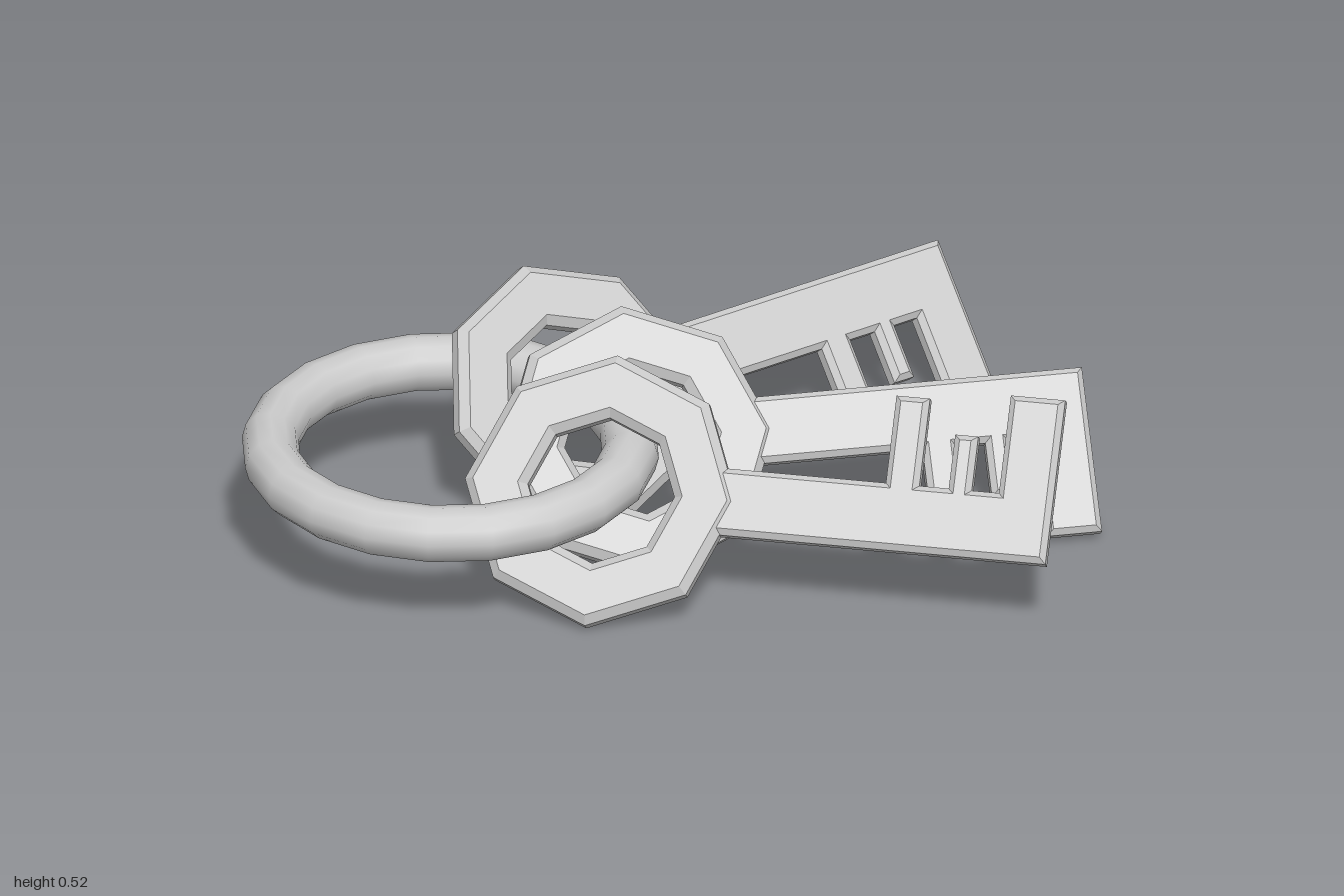
import * as THREE from 'three';

const material = new THREE.MeshStandardMaterial({ color: 0xcccccc });
const deg = THREE.MathUtils.degToRad;

// Corner points of an octagon with corners on the axes
function octagon(radius) {
  return Array.from({ length: 8 }, (_, i) => {
    const a = (i * Math.PI) / 4;
    return new THREE.Vector2(radius * Math.cos(a), radius * Math.sin(a));
  });
}

// Flat plate with chamfered edges, centred on its own thickness
function plate(name, shape, thickness, bevel) {
  const depth = thickness - 2 * bevel;
  const geometry = new THREE.ExtrudeGeometry(shape, {
    depth,
    bevelEnabled: true,
    bevelThickness: bevel,
    bevelSize: bevel,
    bevelOffset: -bevel,
    bevelSegments: 1,
  });
  geometry.translate(0, 0, -depth / 2);
  const mesh = new THREE.Mesh(geometry, material);
  mesh.name = name;
  return mesh;
}

// Key along +x with its bow at the origin and its teeth towards -y
function createKey(name) {
  const key = new THREE.Group();
  key.name = name;

  const bow = new THREE.Shape(octagon(0.325));
  bow.holes.push(new THREE.Path(octagon(0.175)));
  key.add(plate('keyBow', bow, 0.07, 0.02));

  // Blade outline: straight back, three teeth of different lengths
  const half = 0.08, end = 1.07;
  const teeth = [[0.67, 0.75, 0.29], [0.82, 0.875, 0.21], [0.94, end, 0.315]];
  const blade = new THREE.Shape();
  blade.moveTo(0.25, half);
  blade.lineTo(0.25, -half);
  for (const [from, to, length] of teeth) {
    blade.lineTo(from, -half);
    blade.lineTo(from, -length);
    blade.lineTo(to, -length);
    if (to < end) blade.lineTo(to, -half);
  }
  blade.lineTo(end, half);
  blade.closePath();
  key.add(plate('keyBlade', blade, 0.055, 0.014));
  return key;
}

export function createModel() {
  const model = new THREE.Group();
  model.name = 'keyRingWithKeys';

  // Ring lying flat
  const ring = new THREE.Mesh(new THREE.TorusGeometry(0.425, 0.067, 12, 20), material);
  ring.name = 'ring';
  ring.rotation.x = Math.PI / 2;
  ring.position.set(-0.508, 0.277, -0.025);
  model.add(ring);

  // Three keys fanned out, all leaning back; the front one is turned over
  const keys = [
    ['backKey', -0.175, -0.235, 22.5, -40],
    ['middleKey', -0.07, 0.02, -1, -40],
    ['frontKey', -0.2, 0.24, -22.5, 140],
  ];
  for (const [name, x, z, turn, lean] of keys) {
    const key = createKey(name);
    key.position.set(x, 0.265, z);
    key.rotation.set(deg(lean), deg(turn), 0, 'YXZ');
    model.add(key);
  }
  return model;
}
